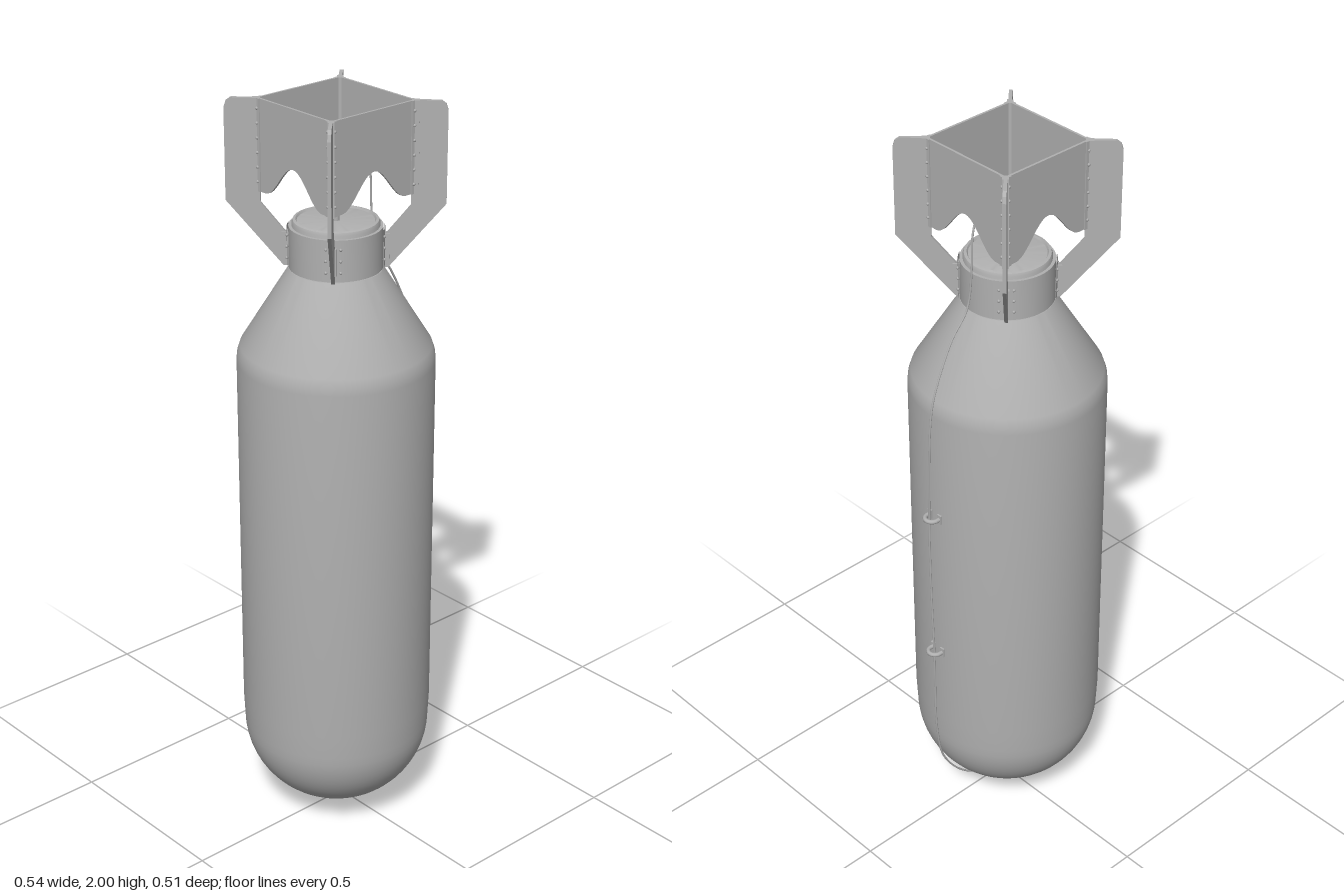
import * as THREE from 'three';
import { toCreasedNormals } from 'three/addons/utils/BufferGeometryUtils.js';

export function createModel() {
  const root = new THREE.Group();
  root.name = 'finnedCasing';
  const axis = new THREE.Group();
  axis.name = 'assembly';
  axis.position.x = -0.018;
  root.add(axis);

  const grey = new THREE.MeshStandardMaterial({ color: 0xb0b0b0, side: THREE.DoubleSide });
  grey.name = 'paintedGrey';

  const add = (name, geo, parent = axis) => {
    const mesh = new THREE.Mesh(geo, grey);
    mesh.name = name;
    parent.add(mesh);
    return mesh;
  };
  const group = (name, angle = 0) => {
    const g = new THREE.Group();
    g.name = name;
    g.rotation.y = angle;
    axis.add(g);
    return g;
  };
  const lathe = (pts, seg = 64) => toCreasedNormals(
    new THREE.LatheGeometry(pts.map(([r, y]) => new THREE.Vector2(r, y)), seg), 0.5);
  const plate = (pts, depth) => new THREE.ExtrudeGeometry(
    new THREE.Shape(pts.map(([x, y]) => new THREE.Vector2(x, y))),
    { depth, bevelEnabled: false }).translate(0, 0, -depth / 2);

  // Body: round nose, straight side, softened shoulder and tail cone
  const profile = [];
  for (let i = 0; i <= 16; i++) {
    const a = (i / 16) * Math.PI / 2;
    profile.push([0.25 * Math.sin(a), 0.275 - 0.242 * Math.cos(a)]);
  }
  profile.push([0.253, 0.34], [0.253, 1.325], [0.251, 1.345], [0.244, 1.366], [0.118, 1.57], [0, 1.57]);
  add('body', lathe(profile, 80));

  // Tail neck with rounded cap and outer collar
  add('tailCap', lathe([[0.11, 1.56], [0.11, 1.688], [0.107, 1.695], [0.1, 1.697], [0.097, 1.692], [0, 1.692]]));
  add('collar', lathe([[0.11, 1.572], [0.118, 1.572], [0.118, 1.68], [0.11, 1.68]]));

  // Nose fuze
  add('noseFuze', lathe([[0, 0], [0.014, 0], [0.014, 0.008], [0.024, 0.01], [0.024, 0.026],
    [0.031, 0.026], [0.031, 0.042], [0, 0.042]], 24));
  const nose = group('noseFuzePins');
  for (let i = 0; i < 4; i++) {
    const a = i * Math.PI / 2;
    add('fuzePin', new THREE.BoxGeometry(0.01, 0.012, 0.01)
      .translate(0.026, 0.014, 0).rotateY(a), nose);
  }

  // Four diagonal fins with swept struts, and their riveted collar brackets
  const fin = plate([[0.112, 1.572], [0.13, 1.572], [0.272, 1.74], [0.272, 1.975], [0.267, 1.991],
    [0.255, 2], [0.185, 2], [0.185, 1.735], [0.112, 1.645]], 0.009);
  for (let i = 0; i < 4; i++) {
    const g = group('finAssembly', Math.PI / 4 + i * Math.PI / 2);
    add('fin', fin, g);
    add('finPost', new THREE.BoxGeometry(0.02, 0.235, 0.016).translate(0.193, 1.8825, 0), g);
    const span = 0.44;
    add('collarBracket', new THREE.CylinderGeometry(0.122, 0.122, 0.1, 8, 1, true,
      Math.PI / 2 - span / 2, span).translate(0, 1.627, 0), g);
    for (const s of [-1, 1]) {
      add('bracketFlange', new THREE.BoxGeometry(0.02, 0.07, 0.004).translate(0.124, 1.627, s * 0.006), g);
      for (let k = 0; k < 3; k++) {
        add('bracketRivet', new THREE.SphereGeometry(0.004, 8, 6)
          .translate(0.122 * Math.cos(0.15), 1.597 + k * 0.03, s * 0.122 * Math.sin(0.15)), g);
      }
    }
  }

  // Box tail: four walls with a scalloped lower edge
  const half = 0.137;
  const wallPts = [[half, 2], [-half, 2], [-half, 1.765]];
  for (let i = 0; i <= 24; i++) {
    const x = -0.105 + i * 0.21 / 24;
    wallPts.push([x, 1.765 + 0.0425 * (1 + Math.cos(Math.PI * x / 0.105))]);
  }
  wallPts.push([half, 1.765]);
  const wall = plate(wallPts, 0.006);
  for (let i = 0; i < 4; i++) {
    const g = group('boxTailSide', i * Math.PI / 2);
    add('boxWall', wall, g).position.z = half - 0.002;
    for (const s of [-1, 1]) {
      add('cornerStrip', new THREE.BoxGeometry(0.018, 0.235, 0.004)
        .translate(s * 0.13, 1.8825, half + 0.002), g);
      for (let k = 0; k < 6; k++) {
        add('wallRivet', new THREE.SphereGeometry(0.004, 8, 6)
          .translate(s * 0.129, 1.79 + k * 0.037, half + 0.004), g);
      }
    }
  }

  // Tail fuze: stem, hub and twelve curved vanes
  add('tailFuzeStem', new THREE.CylinderGeometry(0.009, 0.009, 0.18, 16).translate(0, 1.78, 0));
  add('tailFuzeHub', lathe([[0, 1.86], [0.017, 1.86], [0.017, 1.882], [0.01, 1.882], [0.01, 1.888], [0, 1.888]], 24));
  const blade = new THREE.Shape();
  blade.moveTo(0.012, -0.003);
  blade.quadraticCurveTo(0.035, -0.014, 0.055, 0.002);
  blade.quadraticCurveTo(0.052, 0.012, 0.042, 0.008);
  blade.quadraticCurveTo(0.025, 0.001, 0.012, 0.003);
  const vanes = group('tailFuzeVanes');
  for (let i = 0; i < 12; i++) {
    const m = add('vane', new THREE.ShapeGeometry(blade, 6).rotateX(-Math.PI / 2 + 0.3)
      .rotateY(i * Math.PI / 6), vanes);
    m.position.y = 1.872;
  }

  // Two suspension lugs on the side
  for (const y of [0.577, 1.02]) {
    const g = group('suspensionLug');
    g.position.y = y;
    add('lugLoop', new THREE.TorusGeometry(0.018, 0.006, 10, 20, Math.PI)
      .rotateZ(-Math.PI / 2).rotateX(Math.PI / 2).translate(0.264, 0, 0), g);
    for (const s of [-1, 1]) {
      add('lugLeg', new THREE.CylinderGeometry(0.006, 0.006, 0.02, 10)
        .rotateZ(Math.PI / 2).translate(0.255, 0, s * 0.018), g);
      add('lugFoot', new THREE.BoxGeometry(0.008, 0.026, 0.014).translate(0.253, 0, s * 0.018), g);
    }
  }

  // Arming wire running from the tail vanes, through the lugs, to the nose
  const path = [[0.04, 1.872], [0.085, 1.85], [0.115, 1.79], [0.122, 1.7], [0.134, 1.585],
    [0.185, 1.515], [0.25, 1.385], [0.264, 1.31], [0.27, 1.02], [0.271, 0.8], [0.27, 0.577],
    [0.263, 0.29], [0.235, 0.17], [0.17, 0.08], [0.09, 0.034], [0.025, 0.018]];
  const curve = new THREE.CatmullRomCurve3(path.map(([x, y], i) =>
    new THREE.Vector3(x, y, 0.004 * Math.sin(i * 1.7))));
  add('armingWire', new THREE.TubeGeometry(curve, 140, 0.0028, 6));

  return root;
}
